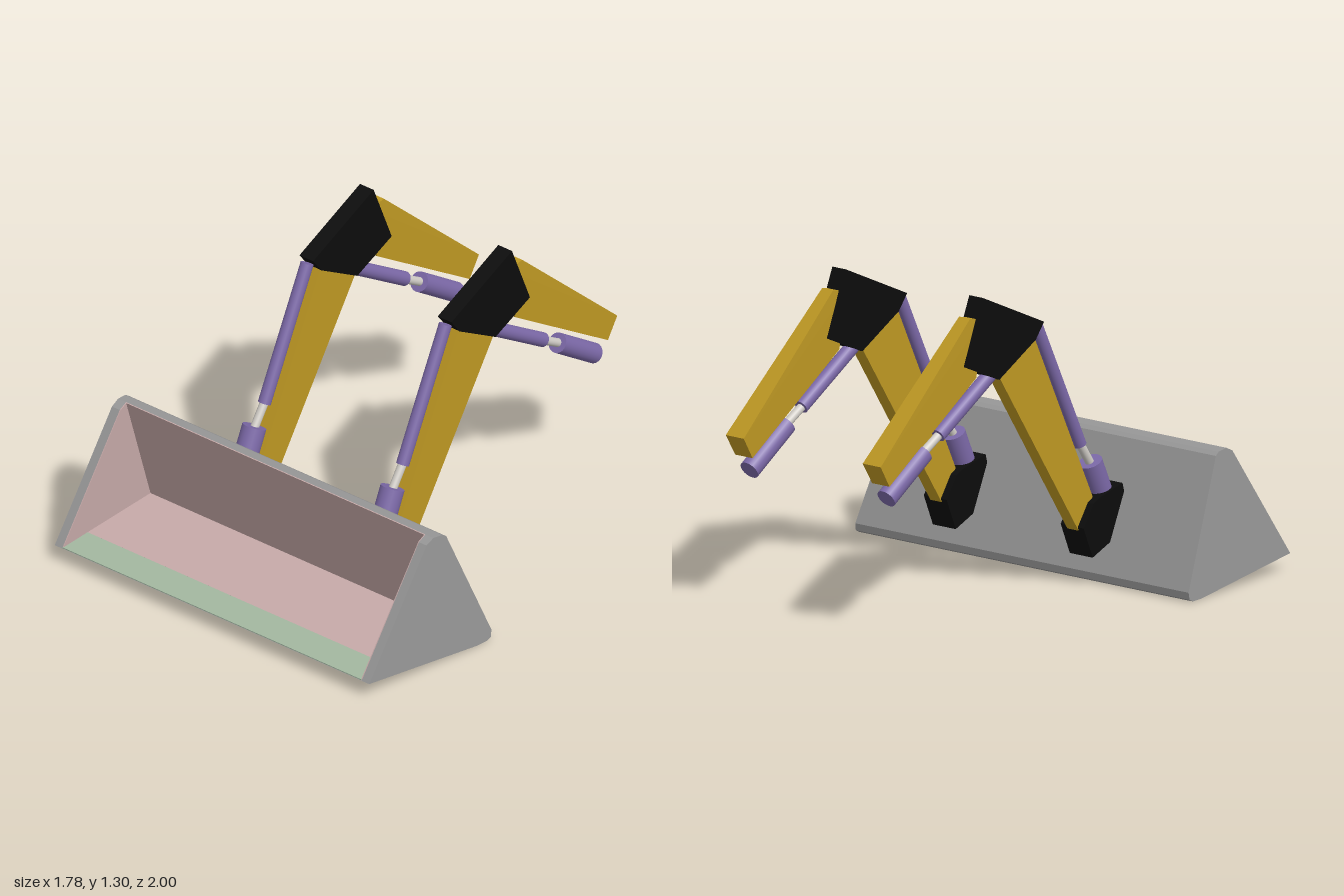
import * as THREE from 'three';

const mat = (name, color, extra) => new THREE.MeshStandardMaterial({ name, color, ...extra });

export function createModel() {
  const steel = mat('steel grey', 0x979797);
  const lining = mat('dusty pink', 0xc6a9a8);
  const edge = mat('pale green', 0xa3b7a0);
  const yellow = mat('arm yellow', 0xbe9823);
  const black = mat('bracket black', 0x0c0c0c);
  const purple = mat('cylinder purple', 0x7c69a8);
  const chrome = mat('rod silver', 0xd0ccc6);

  const model = new THREE.Group();
  model.name = 'frontLoader';

  // Extrudes a (z, y) outline across x, centred; halfAt may reshape the half width
  function prism(name, points, half, material, halfAt) {
    const shape = new THREE.Shape(points.map(([z, y]) => new THREE.Vector2(z, y)));
    const geo = new THREE.ExtrudeGeometry(shape, { depth: 2 * half, bevelEnabled: false });
    geo.translate(0, 0, -half);
    geo.rotateY(-Math.PI / 2);
    if (halfAt) {
      const p = geo.attributes.position;
      for (let i = 0; i < p.count; i++) p.setX(i, halfAt(p.getX(i), p.getY(i), p.getZ(i)));
      geo.computeVertexNormals();
    }
    const mesh = new THREE.Mesh(geo, material);
    mesh.name = name;
    return mesh;
  }

  // Cylinder between two (z, y) points
  function rod(name, a, b, radius, material) {
    const from = new THREE.Vector3(0, a[1], a[0]);
    const to = new THREE.Vector3(0, b[1], b[0]);
    const mesh = new THREE.Mesh(new THREE.CylinderGeometry(radius, radius, from.distanceTo(to), 24), material);
    mesh.name = name;
    mesh.position.copy(from).lerp(to, 0.5);
    mesh.quaternion.setFromUnitVectors(new THREE.Vector3(0, 1, 0), to.clone().sub(from).normalize());
    return mesh;
  }

  // ---- Bucket ----
  const bucket = new THREE.Group();
  bucket.name = 'bucket';
  model.add(bucket);

  const lip = [1, 0.072], lipEnd = [0.85, 0.076], corner = [0.46, 0.085], top = [0.61, 0.575];
  const shell = [[1, 0.07], [0.4, 0], [0.345, 0], [0.325, 0.01], [0.32, 0.04], [0.54, 0.555], [0.56, 0.568], top];
  const inner = 0.79;

  // Floor and back wall
  bucket.add(prism('bucketShell', [...shell, corner], inner, steel));

  // Side plates, flaring outward away from the opening
  const flare = (y, z) => 0.83 + 0.06 * Math.min(1, Math.max(0, ((1 - z) * 0.49 + (0.07 - y) * 0.35) / 0.353));
  for (const side of [-1, 1]) {
    bucket.add(prism(side > 0 ? 'leftSidePlate' : 'rightSidePlate', [...shell, [0.65, 0.557]], 0.02, steel,
      (x, y, z) => side * (x * side > 0 ? flare(y, z) : inner)));
    const panel = prism(side > 0 ? 'leftLining' : 'rightLining', [lip, corner, top, [0.648, 0.557]], 0.002, lining);
    panel.position.x = side * (inner - 0.002);
    bucket.add(panel);
  }

  // Thin linings on the inner faces and the cutting edge
  function strip(name, a, b, material) {
    const dz = b[0] - a[0], dy = b[1] - a[1], k = 0.004 / Math.hypot(dz, dy);
    const lift = ([z, y]) => [z + dy * k, y - dz * k];
    bucket.add(prism(name, [a, b, lift(b), lift(a)], inner - 0.001, material));
  }
  strip('cuttingEdge', lip, lipEnd, edge);
  strip('floorLining', lipEnd, corner, lining);
  strip('backLining', corner, top, lining);

  // ---- Two lifting arms ----
  for (const side of [-1, 1]) {
    const arm = new THREE.Group();
    arm.name = side > 0 ? 'leftArm' : 'rightArm';
    arm.position.x = side * 0.365;
    model.add(arm);

    arm.add(
      // Beams
      prism('lowerBeam', [[-0.05, 1.075], [-0.15, 1.06], [-0.265, 0.955], [0.215, 0.235], [0.30, 0.36]], 0.03, yellow),
      prism('upperBeam', [[-0.36, 1.21], [-0.44, 1.225], [-1, 0.72], [-0.945, 0.63], [-0.40, 0.975]], 0.03, yellow,
        (x, y, z) => Math.sign(x) * (0.028 + 0.02 * Math.max(0, (-z - 0.4) / 0.6))),
      // Brackets
      prism('elbowBracket', [[0, 1.135], [-0.37, 1.3], [-0.48, 1.035], [-0.27, 0.945], [-0.05, 1.07]], 0.036, black),
      prism('bucketBracket', [[0.445, 0.395], [0.3, 0.357], [0.27, 0.34], [0.21, 0.25], [0.265, 0.12], [0.37, 0.165], [0.455, 0.36]], 0.061, black),
      // Bucket ram
      rod('bucketRamTube', [-0.005, 1.11], [0.257, 0.577], 0.027, purple),
      rod('bucketRamRod', [0.25, 0.59], [0.325, 0.48], 0.018, chrome),
      rod('bucketRamBase', [0.318, 0.497], [0.39, 0.34], 0.05, purple),
      // Lift ram
      rod('liftRamTube', [-0.27, 0.975], [-0.6, 0.77], 0.03, purple),
      rod('liftRamRod', [-0.58, 0.78], [-0.7, 0.71], 0.018, chrome),
      rod('liftRamBase', [-0.69, 0.715], [-0.912, 0.567], 0.042, purple),
    );
  }

  return model;
}
